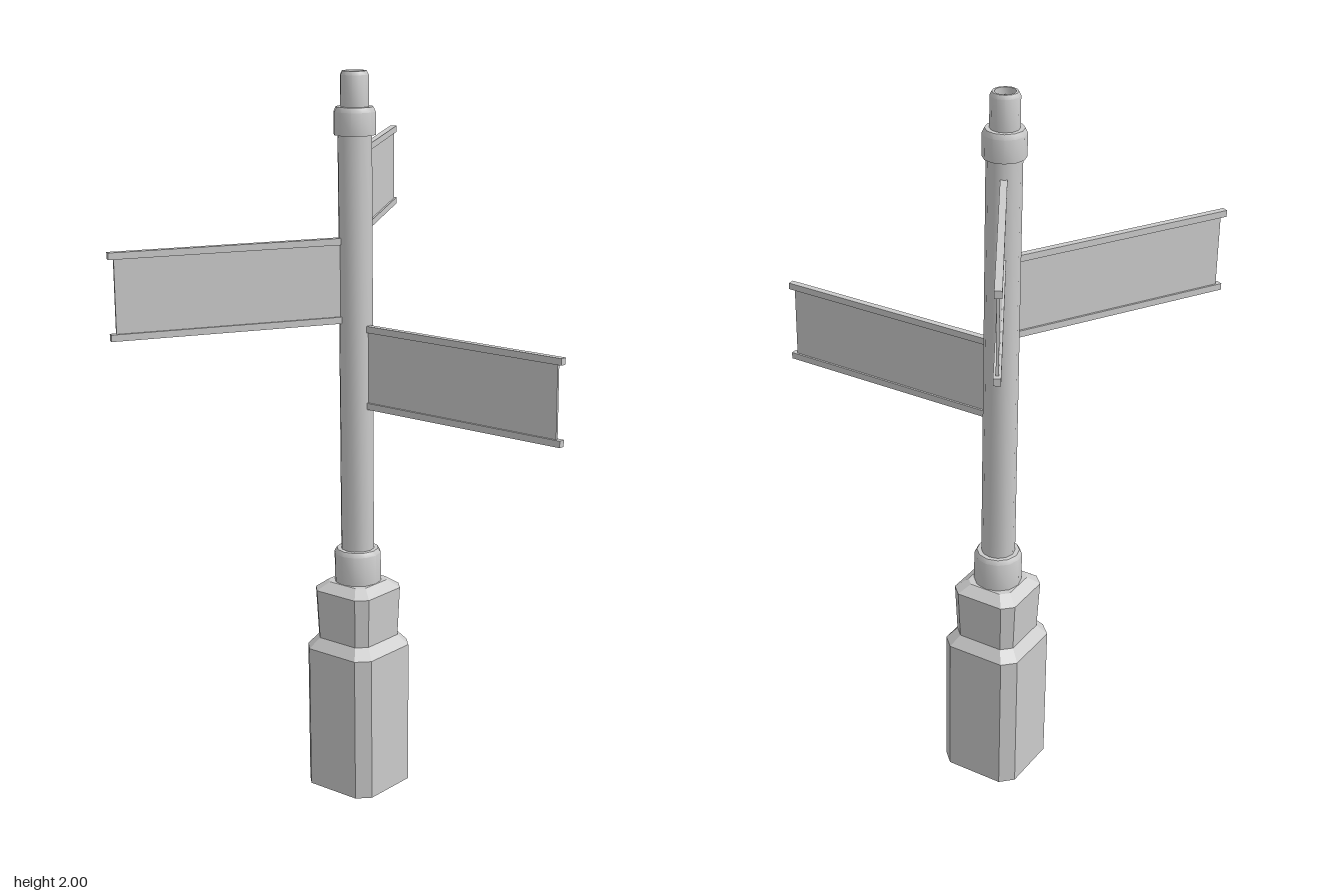
import * as THREE from 'three';
import { toCreasedNormals } from 'three/addons/utils/BufferGeometryUtils.js';

const material = new THREE.MeshStandardMaterial({ color: 0xcccccc, side: THREE.DoubleSide });

function add(parent, name, geometry) {
  const mesh = new THREE.Mesh(geometry, material);
  mesh.name = name;
  parent.add(mesh);
  return mesh;
}

// Turned part from [radius, height] pairs
function turned(profile, sides = 12) {
  const points = profile.map(([r, y]) => new THREE.Vector2(r, y));
  return toCreasedNormals(new THREE.LatheGeometry(points, sides), 0.6);
}

// Stack of square rings with cut corners: [half width, half flat side, height]
function chamferedStack(levels) {
  const rings = levels.map(([w, f, y]) => [
    [f, y, w], [w, y, f], [w, y, -f], [f, y, -w],
    [-f, y, -w], [-w, y, -f], [-w, y, f], [-f, y, w],
  ]);
  const positions = [];
  for (let i = 0; i < rings.length - 1; i++) {
    for (let j = 0; j < 8; j++) {
      const k = (j + 1) % 8;
      const a = rings[i][j], b = rings[i][k], c = rings[i + 1][k], d = rings[i + 1][j];
      positions.push(...a, ...b, ...c, ...a, ...c, ...d);
    }
  }
  const geometry = new THREE.BufferGeometry();
  geometry.setAttribute('position', new THREE.Float32BufferAttribute(positions, 3));
  geometry.computeVertexNormals();
  return geometry;
}

// Thin blade held between a top and a bottom rail, pointing along +z
function makeSign(name, bottom, angle) {
  const sign = new THREE.Group();
  sign.name = name;
  const height = 0.23, rail = 0.018, start = 0.035, end = 0.67;
  const bladeEnd = 0.655;
  add(sign, 'signBlade', new THREE.BoxGeometry(0.007, height - rail, bladeEnd - start))
    .position.set(0, bottom + height / 2, (start + bladeEnd) / 2);
  for (const y of [bottom + rail / 2, bottom + height - rail / 2]) {
    add(sign, 'signRail', new THREE.BoxGeometry(rail, rail, end - start))
      .position.set(0, y, (start + end) / 2);
  }
  sign.rotation.y = angle;
  return sign;
}

export function createModel() {
  const model = new THREE.Group();
  model.name = 'signpost';
  const post = new THREE.Group();
  post.name = 'post';
  post.position.z = -0.165;
  model.add(post);

  // Stepped pedestal, open underneath
  add(post, 'pedestal', chamferedStack([
    [0.115, 0.082, 0], [0.115, 0.082, 0.41], [0.09, 0.064, 0.44],
    [0.096, 0.068, 0.58], [0.066, 0.046, 0.603], [0.03, 0.02, 0.603],
  ]));

  // Pole with its lower and upper collars
  add(post, 'lowerCollar', turned([
    [0.065, 0.6], [0.065, 0.685], [0.058, 0.697], [0.04, 0.697],
  ]));
  add(post, 'pole', turned([[0.046, 0.69], [0.046, 1.84]]));
  add(post, 'upperCollar', turned([
    [0.04, 1.835], [0.056, 1.835], [0.056, 1.895], [0.05, 1.908], [0.03, 1.908],
  ]));

  // Cap with a shallow socket and a small point inside it
  add(post, 'cap', turned([
    [0.038, 1.905], [0.038, 1.99], [0.033, 2], [0.027, 2], [0.027, 1.975], [0, 1.975],
  ]));
  const point = add(post, 'capPoint', new THREE.ConeGeometry(0.027, 0.018, 4).toNonIndexed());
  point.geometry.computeVertexNormals();
  point.position.y = 1.984;

  // Three signs, a third of a turn apart
  const third = (Math.PI * 2) / 3;
  post.add(makeSign('frontSign', 1.1, 0));
  post.add(makeSign('rightSign', 1.335, -third));
  post.add(makeSign('leftSign', 1.56, third));
  return model;
}
